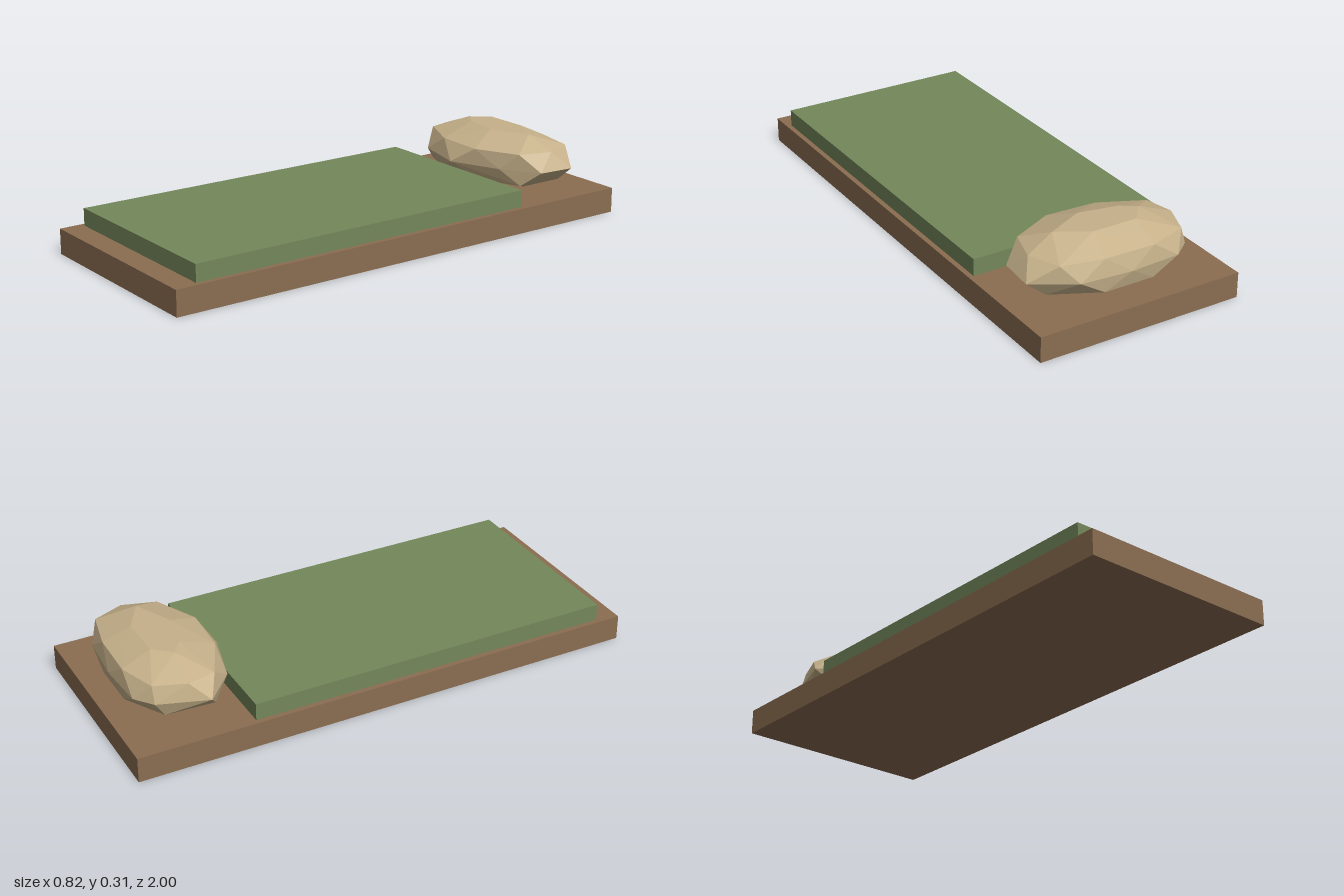
import * as THREE from 'three';
import { ConvexGeometry } from 'three/addons/geometries/ConvexGeometry.js';

const material = (name, color) => {
  const m = new THREE.MeshStandardMaterial({ color });
  m.name = name;
  return m;
};

// Box given by its lower and upper corners
function slab(name, mat, [x0, y0, z0], [x1, y1, z1]) {
  const mesh = new THREE.Mesh(new THREE.BoxGeometry(x1 - x0, y1 - y0, z1 - z0), mat);
  mesh.position.set((x0 + x1) / 2, (y0 + y1) / 2, (z0 + z1) / 2);
  mesh.name = name;
  return mesh;
}

// Faceted pillow: convex hull of rings of [x, z] points, each at one height
function pillow(mat) {
  const rings = [
    [0.095, [[-0.16, -0.74], [0.18, -0.74], [0, -0.66], [0, -0.85]]],
    [0.135, [[-0.27, -0.64], [-0.1, -0.565], [0.1, -0.575], [0.27, -0.64],
      [0.28, -0.83], [0.1, -0.92], [-0.1, -0.92], [-0.26, -0.83]]],
    [0.196, [[-0.335, -0.68], [-0.21, -0.565], [0, -0.51], [0.2, -0.59], [0.345, -0.68],
      [0.357, -0.825], [0.2, -0.92], [0, -0.937], [-0.2, -0.925], [-0.27, -0.87]]],
    [0.262, [[-0.295, -0.75], [-0.27, -0.64], [-0.1, -0.56], [0.1, -0.55], [0.27, -0.63],
      [0.31, -0.76], [0.26, -0.88], [0.1, -0.915], [-0.1, -0.92], [-0.25, -0.87]]],
    [0.312, [[-0.16, -0.74], [0.2, -0.74], [0.05, -0.67], [-0.1, -0.7], [0.08, -0.81], [-0.1, -0.81]]],
  ];
  const points = rings.flatMap(([y, ring]) => ring.map(([x, z]) => new THREE.Vector3(x, y, z)));
  const mesh = new THREE.Mesh(new ConvexGeometry(points), mat);
  mesh.name = 'pillow';
  return mesh;
}

export function createModel() {
  const wood = material('brown wood', 0x8b6d51);
  const cloth = material('green cloth', 0x74875a);
  const linen = material('beige linen', 0xc6b18a);

  const bed = new THREE.Group();
  bed.name = 'bed';
  bed.add(
    slab('bedBase', wood, [-0.41, 0, -1], [0.41, 0.098, 1]),
    slab('blanket', cloth, [-0.39, 0.098, -0.54], [0.39, 0.165, 0.91]),
    pillow(linen),
  );
  return bed;
}
